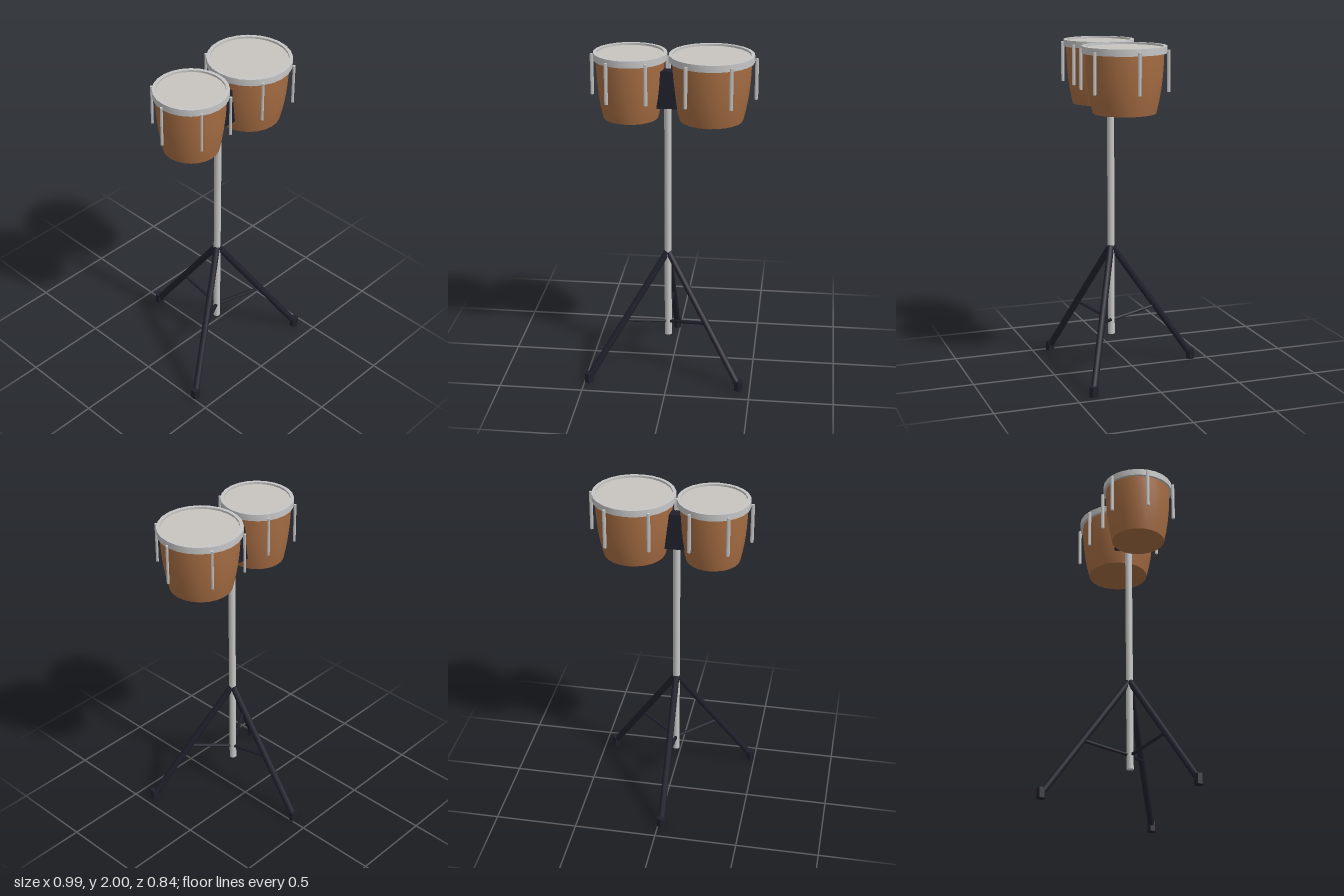
import * as THREE from 'three';
import { toCreasedNormals } from 'three/addons/utils/BufferGeometryUtils.js';

const mat = (name, color) => {
  const m = new THREE.MeshStandardMaterial({ color });
  m.name = name;
  return m;
};

export function createModel() {
  const wood = mat('wood', 0xa66d43);
  const chrome = mat('chrome', 0xc6c6c6);
  const skin = mat('drum skin', 0xc8c4c0);
  const black = mat('black metal', 0x20202c);

  const model = new THREE.Group();
  model.name = 'bongosOnStand';
  const CX = -0.02, CZ = 0.128; // stand axis

  function add(parent, name, geometry, material, x = 0, y = 0, z = 0) {
    const mesh = new THREE.Mesh(geometry, material);
    mesh.name = name;
    mesh.position.set(x, y, z);
    parent.add(mesh);
    return mesh;
  }

  const lathe = (pts) => toCreasedNormals(
    new THREE.LatheGeometry(pts.map(([r, y]) => new THREE.Vector2(r, y)), 24), 0.6);

  // Round bar between two points
  function bar(parent, name, a, b, radius, sides) {
    const dir = b.clone().sub(a);
    const mesh = add(parent, name, new THREE.CylinderGeometry(radius, radius, dir.length(), sides), black);
    mesh.position.copy(a).add(b).multiplyScalar(0.5);
    mesh.quaternion.setFromUnitVectors(new THREE.Vector3(0, 1, 0), dir.normalize());
  }

  // Drum: tapered shell, metal rim, recessed skin and six tuning rods
  function drum(name, x, rimR) {
    const g = new THREE.Group();
    g.name = name;
    g.position.set(x, 0, CZ);
    const shell = [[0, 1.615], [0.75, 1.615], [0.815, 1.68], [0.865, 1.75], [0.9, 1.82], [0.92, 1.89], [0.93, 1.965]];
    add(g, 'shell', lathe(shell.map(([r, y]) => [r * rimR, y])), wood);
    const inner = rimR - 0.02;
    add(g, 'rim', lathe([[inner, 1.96], [rimR, 1.96], [rimR, 2], [inner, 2], [inner, 1.96]]), chrome);
    add(g, 'skin', new THREE.CylinderGeometry(inner, inner, 0.02, 24), skin, 0, 1.978, 0);
    for (let i = 0; i < 6; i++) {
      const a = i * Math.PI / 3, r = rimR + 0.011;
      add(g, 'tuningRod', new THREE.CylinderGeometry(0.0105, 0.0105, 0.24, 4), chrome,
        Math.cos(a) * r, 1.862, Math.sin(a) * r);
    }
    model.add(g);
  }
  drum('smallDrum', -0.235, 0.212);
  drum('largeDrum', 0.231, 0.244);

  // Wedge-shaped clamp block between the drums
  const wedge = new THREE.Shape([[-0.06, 1.69], [0.06, 1.69], [0.034, 1.91], [-0.034, 1.91]]
    .map(([x, y]) => new THREE.Vector2(x, y)));
  add(model, 'clamp', new THREE.ExtrudeGeometry(wedge, { depth: 0.148, bevelEnabled: false }),
    black, CX, 0, CZ - 0.074);

  // Centre pole
  add(model, 'pole', new THREE.CylinderGeometry(0.0215, 0.0215, 1.58, 12), chrome, CX, 1.01, CZ);

  // Tripod: leg, brace and foot, repeated three times
  for (let i = 0; i < 3; i++) {
    const a = -Math.PI / 2 + i * Math.PI * 2 / 3;
    const at = (r, y) => new THREE.Vector3(CX + Math.cos(a) * r, y, CZ + Math.sin(a) * r);
    const g = new THREE.Group();
    g.name = 'tripodLeg';
    bar(g, 'leg', at(0.005, 0.77), at(0.523, 0.03), 0.02, 8);
    bar(g, 'brace', at(0.01, 0.308), at(0.275, 0.37), 0.0105, 6);
    const p = at(0.523, 0.031);
    add(g, 'foot', toCreasedNormals(new THREE.CylinderGeometry(0.0275, 0.0275, 0.062, 6), 0.6), black, p.x, p.y, p.z);
    model.add(g);
  }
  return model;
}
